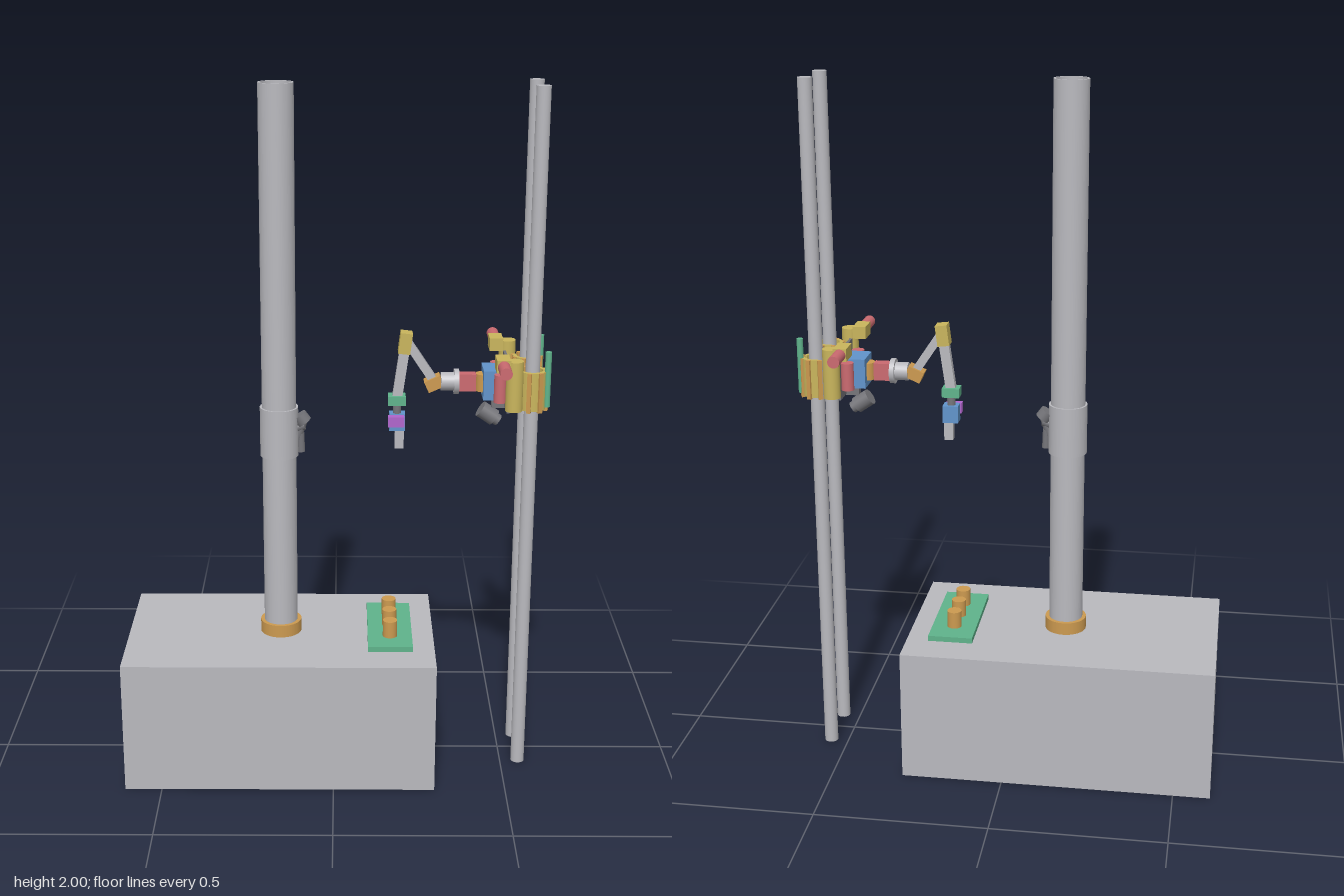
import * as THREE from 'three';

const mat = (name, color, side = THREE.FrontSide) => {
  const m = new THREE.MeshStandardMaterial({ color, side });
  m.name = name;
  return m;
};

export function createModel() {
  const root = new THREE.Group();
  root.name = 'poleClimbingManipulator';
  const grey = mat('light grey', 0xb9b9be);
  const dark = mat('dark grey', 0x75757a);
  const orange = mat('orange', 0xcc9a50);
  const yellow = mat('yellow', 0xc9b55c);
  const green = mat('green', 0x5fb38b);
  const red = mat('red', 0xcb6a70);
  const blue = mat('blue', 0x6194cb);
  const purple = mat('purple', 0xb065cc);

  const add = (name, geo, material, x, y, z, parent = root) => {
    const m = new THREE.Mesh(geo, material);
    m.name = name;
    m.position.set(x, y, z);
    parent.add(m);
    return m;
  };
  // Box given by its limits on each axis
  const box = (name, material, x0, x1, y0, y1, z0, z1, parent) =>
    add(name, new THREE.BoxGeometry(x1 - x0, y1 - y0, z1 - z0), material,
      (x0 + x1) / 2, (y0 + y1) / 2, (z0 + z1) / 2, parent);
  // Stretch a part built along y between two points
  const span = (name, material, a, b, makeGeo, parent = root) => {
    const p = new THREE.Vector3(...a), q = new THREE.Vector3(...b);
    const d = q.clone().sub(p);
    const mid = p.clone().add(q).multiplyScalar(0.5);
    const m = add(name, makeGeo(d.length()), material, mid.x, mid.y, mid.z, parent);
    m.quaternion.setFromUnitVectors(new THREE.Vector3(0, 1, 0), d.normalize());
    return m;
  };
  const rod = (name, material, a, b, r, parent) =>
    span(name, material, a, b, h => new THREE.CylinderGeometry(r, r, h, 24), parent);
  const bar = (name, material, a, b, w, depth, parent) =>
    span(name, material, a, b, h => new THREE.BoxGeometry(w, h, depth), parent);
  // Upright hollow cylinder, as a closed lathe with sharp rims
  const pipe = (name, material, x, z, y0, y1, rIn, rOut) => {
    const s = new THREE.Shape().absarc(0, 0, rOut, 0, Math.PI * 2);
    s.holes.push(new THREE.Path().absarc(0, 0, rIn, 0, Math.PI * 2, true));
    const g = new THREE.ExtrudeGeometry(s, { depth: y1 - y0, bevelEnabled: false, curveSegments: 40 });
    g.rotateX(-Math.PI / 2);
    return add(name, g, material, x, y0, z);
  };

  // Base block and main mast
  const mx = -0.157;
  box('baseBlock', grey, -0.607, 0.294, 0, 0.393, -0.257, 0.257);
  pipe('mast', grey, mx, 0, 0.393, 2, 0.043, 0.049);
  pipe('mastFlange', orange, mx, 0, 0.393, 0.43, 0.049, 0.06);
  pipe('mastSleeve', grey, mx, 0, 0.945, 1.09, 0.049, 0.055);

  // Valve on the mast sleeve
  const valve = new THREE.Group();
  valve.name = 'valve';
  root.add(valve);
  rod('valveNeck', dark, [-0.125, 1.02, 0], [-0.085, 1.035, 0], 0.014, valve);
  rod('valveWheel', dark, [-0.1, 1.065, 0], [-0.084, 1.043, 0], 0.022, valve);
  rod('valveStem', dark, [-0.088, 1.045, 0], [-0.105, 0.995, 0], 0.012, valve);
  rod('valveSpout', dark, [-0.096, 1.01, 0], [-0.094, 0.955, 0], 0.011, valve);

  // Tool tray with three studs
  box('tray', green, 0.1, 0.23, 0.393, 0.409, -0.155, 0.155);
  for (const z of [-0.077, 0, 0.077])
    add('trayStud', new THREE.CylinderGeometry(0.021, 0.021, 0.05, 24), orange, 0.165, 0.434, z);

  // Split ring of a gripper jaw, in plan, open towards the middle
  const jawGeo = (a0, a1, rIn, rOut, h) => {
    const s = new THREE.Shape();
    s.absarc(0, 0, rOut, a0, a1, false);
    s.absarc(0, 0, rIn, a1, a0, true);
    s.closePath();
    const g = new THREE.ExtrudeGeometry(s, { depth: h, bevelEnabled: false, curveSegments: 14 });
    return g.rotateX(-Math.PI / 2);
  };

  // Twin rails, each with its gripper and drive
  for (const s of [1, -1]) {
    const rx = 0.553, rz = s * 0.078;
    rod('rail', grey, [rx, 0, rz], [rx, 2, rz], 0.02);
    const grip = new THREE.Group();
    grip.name = s > 0 ? 'leftGripper' : 'rightGripper';
    root.add(grip);
    // Two curved jaws with ribs and pads
    for (const [a0, a1] of [[0.12, 2.0], [2.75, 6.02]])
      add('gripperJaw', jawGeo(a0, a1, 0.029, 0.04, 0.11), yellow, rx, 1.112, rz, grip);
    for (let i = 0; i < 8; i++) {
      const a = i * Math.PI / 4 + 0.3, c = Math.cos(a), d = Math.sin(a);
      const rib = box('gripperRib', orange, -0.005, 0.005, 1.108, 1.222, -0.006, 0.006, grip);
      rib.position.x = rx + c * 0.041;
      rib.position.z = rz + d * 0.041;
      rib.rotation.y = -a;
      if (i % 2) {
        const pad = box('gripperPad', dark, -0.005, 0.005, 1.13, 1.2, -0.005, 0.005, grip);
        pad.position.x = rx + c * 0.025;
        pad.position.z = rz + d * 0.025;
        pad.rotation.y = -a;
      }
    }
    rod('hingePin', green, [0.594, 1.12, s * 0.093], [0.594, 1.278, s * 0.093], 0.009, grip);
    // Lever and drive gear beside the carriage
    rod('driveGear', yellow, [0.5, 1.115, s * 0.115], [0.5, 1.258, s * 0.115], 0.024, grip);
    box('gearHousing', yellow, 0.447, 0.485, 1.232, 1.268, s > 0 ? 0.085 : -0.15, s > 0 ? 0.15 : -0.085, grip);
    rod('sideMotor', red, [0.466, 1.25, s * 0.145], [0.466, 1.25, s * 0.221], 0.017, grip);
    rod('uprightMotor', red, [0.466, 1.125, s * 0.068], [0.466, 1.205, s * 0.068], 0.018, grip);
    box('jawLink', orange, 0.49, 0.53, 1.13, 1.2, s > 0 ? 0.05 : -0.066, s > 0 ? 0.066 : -0.05, grip);
  }

  // Carriage joining the grippers
  box('carriagePlate', dark, 0.485, 0.493, 1.095, 1.235, -0.078, 0.078);
  box('controlBox', blue, 0.421, 0.485, 1.122, 1.208, -0.044, 0.044);

  // Camera hung under the carriage
  rod('cameraBody', dark, [0.418, 1.085, 0], [0.458, 1.058, 0], 0.024);
  rod('cameraLens', dark, [0.458, 1.058, 0], [0.47, 1.05, 0], 0.017);
  box('cameraBracket', dark, 0.448, 0.487, 1.09, 1.122, -0.01, 0.01);

  // Arm: shoulder, wrist drive and elbow
  rod('shoulderJoint', orange, [0.425, 1.14, 0], [0.425, 1.19, 0], 0.024);
  box('shoulderMotor', red, 0.352, 0.402, 1.14, 1.19, -0.017, 0.017);
  rod('armFlange', grey, [0.34, 1.166, 0], [0.354, 1.166, 0], 0.036);
  rod('armDrive', grey, [0.303, 1.166, 0], [0.341, 1.166, 0], 0.026);
  bar('elbowBracket', orange, [0.262, 1.152, 0], [0.306, 1.172, 0], 0.034, 0.042);
  bar('upperLink', grey, [0.208, 1.28, 0], [0.285, 1.165, 0], 0.024, 0.024);
  const top = box('topJoint', yellow, 0.184, 0.218, 1.25, 1.31, -0.021, 0.021);
  top.rotation.z = -0.12;
  bar('lowerLink', grey, [0.2, 1.265, 0], [0.18, 1.12, 0], 0.028, 0.022);

  // Hand
  box('wrist', green, 0.154, 0.204, 1.098, 1.125, -0.021, 0.021);
  rod('wristShaft', dark, [0.18, 1.07, 0], [0.18, 1.1, 0], 0.012);
  box('handBody', blue, 0.158, 0.203, 1.022, 1.072, -0.02, 0.018);
  box('handSensor', purple, 0.154, 0.2, 1.04, 1.07, 0.018, 0.04);
  box('handTip', grey, 0.174, 0.2, 0.968, 1.03, -0.013, 0.013);
  return root;
}
